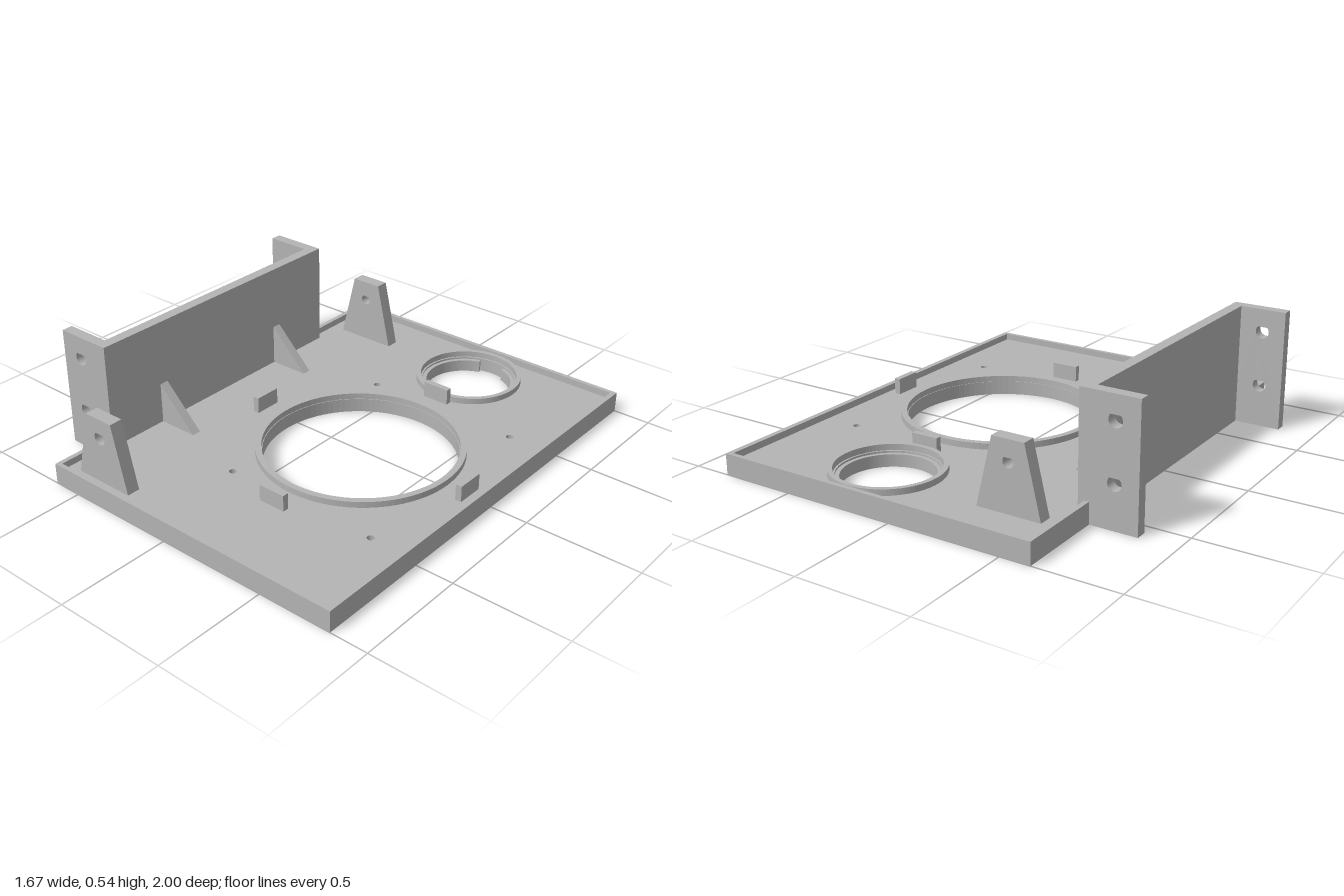
import * as THREE from 'three';

const FLOOR = 0.063, RIM = 0.093;
const BIG = { x: 0.216, z: 0.064, r: 0.415, outer: 0.445 };
const SMALL = { x: 0.216, z: -0.729, r: 0.193, bore: 0.211, lip: 0.219, outer: 0.24 };

// Closed outline from corner points
const poly = (pts, Type = THREE.Shape) => new Type(pts.map(([x, y]) => new THREE.Vector2(x, y)));
const rect = (x0, x1, y0, y1, Type) => poly([[x0, y0], [x1, y0], [x1, y1], [x0, y1]], Type);

function circle(x, y, r, Type = THREE.Path) {
  const c = new Type();
  c.absarc(x, y, r, 0, Math.PI * 2, false);
  return c;
}

// Round hole with a 45 degree peak
function teardrop(x, y, r) {
  const p = new THREE.Path();
  p.moveTo(x, y + r * Math.SQRT2);
  p.absarc(x, y, r, Math.PI * 0.75, Math.PI * 2.25, false);
  p.closePath();
  return p;
}

export function createModel() {
  const root = new THREE.Group();
  root.name = 'mountingPlate';
  const grey = new THREE.MeshStandardMaterial({ color: 0xb4b4b4 });
  grey.name = 'grey plastic';

  const add = (name, geometry) => {
    const mesh = new THREE.Mesh(geometry, grey);
    mesh.name = name;
    root.add(mesh);
    return mesh;
  };
  // Plan outline (x, -z) raised from y0 to y1
  const slab = (name, shape, y0, y1) => {
    const g = new THREE.ExtrudeGeometry(shape, { depth: y1 - y0, bevelEnabled: false, curveSegments: 48 });
    add(name, g.rotateX(-Math.PI / 2).translate(0, y0, 0));
  };
  // Front outline (x, y) running from z0 to z1
  const upright = (name, shape, z0, z1) => {
    const g = new THREE.ExtrudeGeometry(shape, { depth: z1 - z0, bevelEnabled: false, curveSegments: 24 });
    add(name, g.translate(0, 0, z0));
  };
  const box = (name, x0, x1, y0, y1, z0, z1) => {
    const g = new THREE.BoxGeometry(x1 - x0, y1 - y0, z1 - z0);
    add(name, g.translate((x0 + x1) / 2, (y0 + y1) / 2, (z0 + z1) / 2));
  };

  // Floor with two large openings and four screw holes
  const floor = rect(-0.61, 0.81, -0.98, 0.98);
  floor.holes.push(circle(BIG.x, -BIG.z, BIG.r), circle(SMALL.x, -SMALL.z, SMALL.bore));
  for (const x of [-0.07, 0.648]) for (const z of [-0.414, 0.541]) floor.holes.push(circle(x, -z, 0.016));
  slab('floor', floor, 0, FLOOR);

  // Raised border
  const rim = rect(-0.631, 0.833, -1, 1);
  rim.holes.push(rect(-0.61, 0.81, -0.98, 0.98, THREE.Path));
  slab('rim', rim, 0, RIM);

  // Collars around the openings
  const bigCollar = circle(BIG.x, -BIG.z, BIG.outer, THREE.Shape);
  bigCollar.holes.push(circle(BIG.x, -BIG.z, BIG.r + 0.003));
  slab('largeCollar', bigCollar, FLOOR, RIM - 0.003);
  const smallCollar = circle(SMALL.x, -SMALL.z, SMALL.outer, THREE.Shape);
  smallCollar.holes.push(circle(SMALL.x, -SMALL.z, SMALL.lip));
  slab('smallCollar', smallCollar, FLOOR, RIM - 0.003);

  // Inner ledge of the small opening, with a notch at the back
  const a0 = Math.PI / 2 + 0.32, a1 = Math.PI * 2.5 - 0.32;
  const ledge = new THREE.Shape();
  ledge.absarc(SMALL.x, -SMALL.z, SMALL.bore, a0, a1, false);
  ledge.absarc(SMALL.x, -SMALL.z, SMALL.r, a1, a0, true);
  slab('smallOpeningLedge', ledge, 0, FLOOR - 0.008);

  // Locating tabs around the large opening
  for (const x of [-0.339, 0.744]) box('sideTab', x, x + 0.028, FLOOR, 0.135, 0.004, 0.127);
  for (const z of [-0.492, 0.597]) box('endTab', 0.156, 0.281, FLOOR, 0.135, z, z + 0.027);

  // Bracket: wall and two drilled flanges
  box('bracketWall', -0.631, -0.582, 0, 0.535, -0.605, 0.734);
  for (const z of [-0.605, 0.685]) {
    const flange = rect(-0.837, -0.582, 0, 0.535);
    flange.holes.push(teardrop(-0.735, 0.434, 0.03), teardrop(-0.735, 0.188, 0.03));
    upright('bracketFlange', flange, z, z + 0.049);
  }

  // Triangular gussets behind the wall
  for (const z of [-0.315, 0.405]) {
    upright('gusset', poly([[-0.582, FLOOR], [-0.397, FLOOR], [-0.582, 0.246]]), z, z + 0.041);
  }

  // Tapered lugs at the two ends
  for (const [z, r] of [[-0.807, 0.024], [0.878, 0.029]]) {
    const lug = poly([[-0.55, FLOOR], [-0.265, FLOOR], [-0.336, 0.36], [-0.479, 0.36]]);
    lug.holes.push(teardrop(-0.408, 0.27, r));
    upright('lug', lug, z, z + 0.059);
  }
  return root;
}
